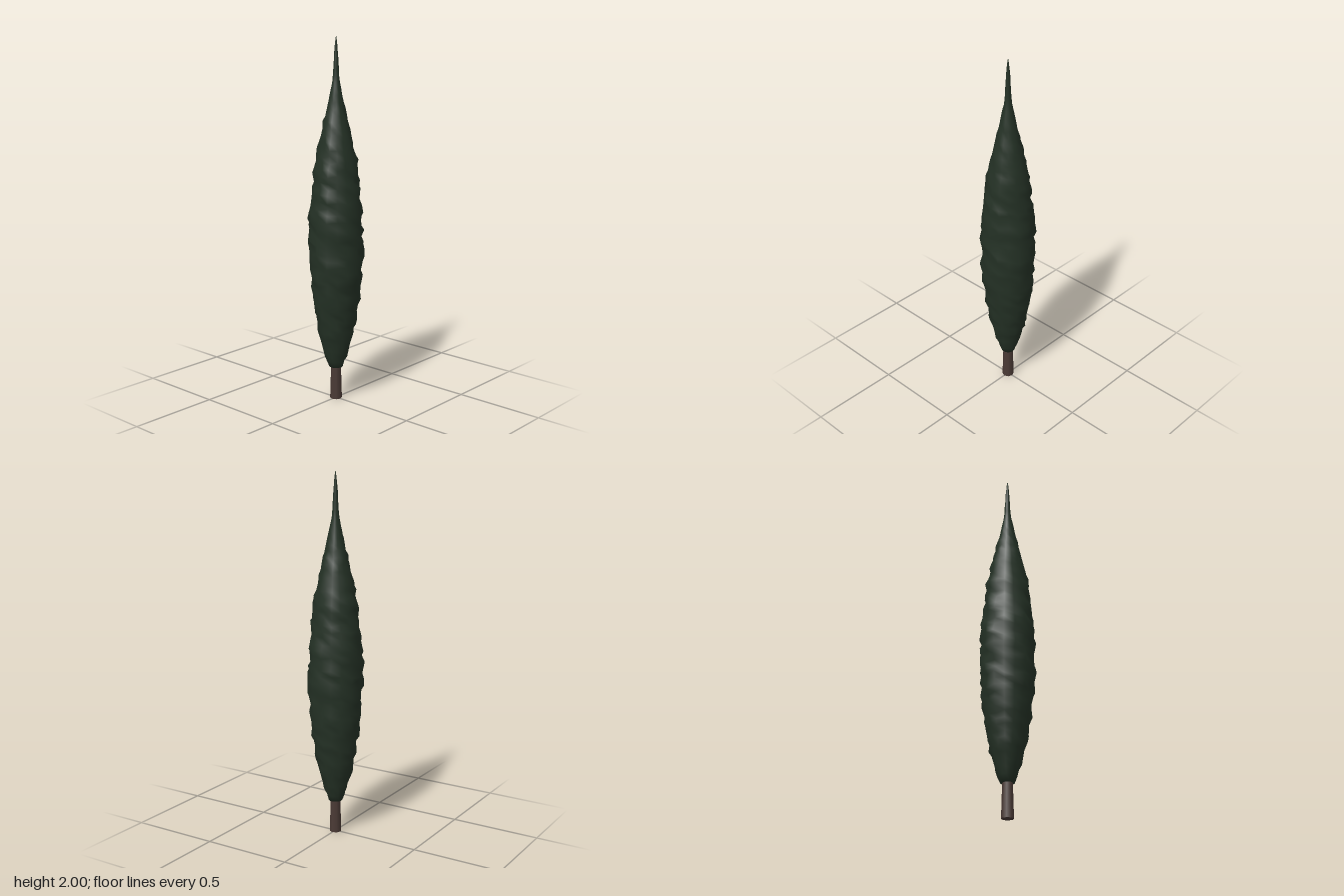
import * as THREE from 'three';
import { mergeVertices } from 'three/addons/utils/BufferGeometryUtils.js';

// Repeatable noise in -1..1 for a grid cell
function noise(i, j) {
  const s = Math.sin(i * 127.1 + j * 311.7 + 4.2) * 43758.5453;
  return (s - Math.floor(s)) * 2 - 1;
}

// Height and radius of the crown, from the base to the tip
const PROFILE = [
  [0.185, 0.038], [0.25, 0.062], [0.36, 0.092], [0.45, 0.109], [0.55, 0.124],
  [0.66, 0.137], [0.8, 0.146], [0.92, 0.148], [1.05, 0.143], [1.15, 0.133],
  [1.3, 0.117], [1.4, 0.099], [1.5, 0.077], [1.6, 0.052], [1.7, 0.031],
  [1.77, 0.018], [1.88, 0.012], [1.96, 0.006], [2.0, 0],
];

function radiusAt(y) {
  for (let k = 1; k < PROFILE.length; k++) {
    const [y0, r0] = PROFILE[k - 1], [y1, r1] = PROFILE[k];
    if (y <= y1) return r0 + (r1 - r0) * (y - y0) / (y1 - y0);
  }
  return 0;
}

// Lathed crown whose surface is pushed into rising spiral ridges
function crownGeometry() {
  const sides = 16, rows = 52, base = 0.185;
  const points = [new THREE.Vector2(0, base)];
  for (let j = 0; j <= rows; j++) {
    const y = base + (2 - base) * j / rows;
    points.push(new THREE.Vector2(radiusAt(y), y));
  }
  const geo = new THREE.LatheGeometry(points, sides);
  const pos = geo.attributes.position;
  for (let v = 0; v < pos.count; v++) {
    const i = Math.floor(v / points.length) % sides, j = v % points.length;
    const { x: r, y } = points[j];
    const a = i / sides * Math.PI * 2;
    const ridge = Math.sin(5 * a - y * Math.PI * 2 / 0.13);
    const rough = j < 2 ? 0 : 0.045 * ridge + 0.055 * noise(i, j);
    const lift = j < 3 || j > rows - 8 ? 0 : 0.008 * noise(j, i + 40);
    const R = r * (1 + rough);
    pos.setXYZ(v, Math.sin(a) * R, y + lift, Math.cos(a) * R);
  }
  geo.deleteAttribute('uv');
  geo.deleteAttribute('normal');
  const smooth = mergeVertices(geo, 1e-5);
  smooth.computeVertexNormals();
  return smooth;
}

export function createModel() {
  const tree = new THREE.Group();
  tree.name = 'cypressTree';
  const foliage = new THREE.MeshStandardMaterial({ color: 0x243125 });
  foliage.name = 'darkGreenFoliage';
  const bark = new THREE.MeshStandardMaterial({ color: 0x4a3a35 });
  bark.name = 'brownBark';

  // Trunk
  const trunk = new THREE.Mesh(new THREE.CylinderGeometry(0.026, 0.033, 0.24, 8), bark);
  trunk.name = 'trunk';
  trunk.position.y = 0.12;
  tree.add(trunk);

  // Crown
  const crown = new THREE.Mesh(crownGeometry(), foliage);
  crown.name = 'crown';
  tree.add(crown);
  return tree;
}
